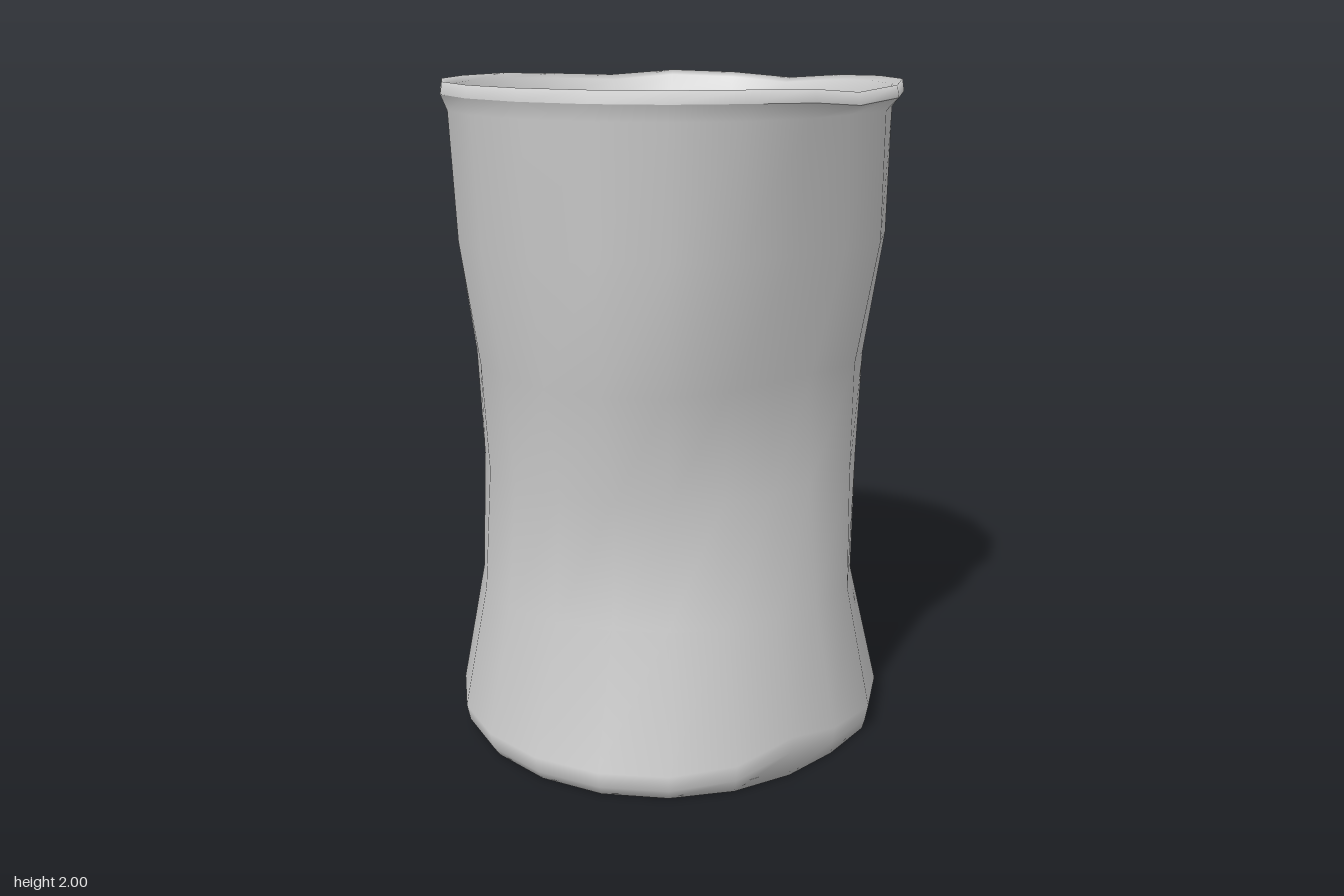
import * as THREE from 'three';

const SIDES = 20;
// Crumpled outer radius at each height, eight directions from +x round through +z;
// dents are the extra depths of the two sharp creases
const LEVELS = [
  { y: 0.00, r: [.64, .605, .625, .635, .645, .65, .59, .62], dents: [.015, 0] },
  { y: 0.03, r: [.65, .615, .64, .655, .66, .66, .60, .635], dents: [.02, 0] },
  { y: 0.08, r: [.66, .62, .65, .665, .67, .665, .61, .645], dents: [.02, 0] },
  { y: 0.47, r: [.58, .535, .52, .585, .60, .65, .55, .545], dents: [.02, .06] },
  { y: 0.85, r: [.583, .51, .50, .555, .585, .61, .53, .545], dents: [.035, .07] },
  { y: 1.18, r: [.59, .50, .59, .58, .595, .575, .56, .56], dents: [.03, .05] },
  { y: 1.55, r: [.64, .575, .62, .64, .63, .625, .615, .61] },
  { y: 1.92, r: [.645, .63, .645, .655, .65, .635, .64, .64], dents: [.035, 0] },
];
const RIM = { r: [.68, .655, .66, .67, .675, .67, .665, .662], dents: [.035, 0] };
// Wall thickness in the same eight directions, pinched at the dents
const WALL = [.03, .008, .01, .018, .034, .018, .008, .012];

// Smooth periodic blend between the eight directions
function blend(r, angle) {
  const t = angle / (Math.PI / 4), i = Math.floor(t), f = t - i;
  const [a, b, c, d] = [-1, 0, 1, 2].map(k => r[(i + k + 8) % 8]);
  return b + 0.5 * f * (c - a + f * (2 * a - 5 * b + 4 * c - d + f * (3 * (b - c) + d - a)));
}

// Local bump around one direction, in degrees
function bump(angle, centre, width) {
  const d = THREE.MathUtils.radToDeg(angle) - centre;
  return Math.exp(-(((((d + 540) % 360) - 180) / width) ** 2));
}

// One ring: inset is an even step inwards, wall the share of the wall thickness
function makeRing({ y, r, dents = [0, 0], inset = 0, wall = 0, scale = 1 }) {
  const ring = [];
  for (let i = 0; i < SIDES; i++) {
    const a = ((i + 0.5) / SIDES) * Math.PI * 2;
    const dent = dents[0] * bump(a, 27, 16) + dents[1] * bump(a, 328, 16);
    const radius = scale * (1.01 * blend(r, a) - dent - inset - wall * blend(WALL, a));
    let h = y;
    // Dented lower edge and slightly wavy lip
    if (y > 0 && y < 0.1 && !wall) h += 0.05 * (bump(a, 45, 14) + bump(a, 251, 16));
    if (y > 1.95) h -= 0.02 * (bump(a, 24, 16) + bump(a, 237, 12) + bump(a, 296, 16));
    ring.push(new THREE.Vector3(Math.cos(a) * radius, h, Math.sin(a) * radius));
  }
  return ring;
}

// Skin a list of rings, ordered up the outside and down the inside
function loft(rings) {
  const index = [];
  for (let j = 0; j < rings.length - 1; j++) {
    for (let i = 0; i < SIDES; i++) {
      const a = j * SIDES + i, b = j * SIDES + ((i + 1) % SIDES);
      const c = a + SIDES, d = b + SIDES;
      index.push(a, c, b, b, c, d);
    }
  }
  const g = new THREE.BufferGeometry().setFromPoints(rings.flat());
  g.setIndex(index);
  g.computeVertexNormals();
  return g;
}

export function createModel() {
  const group = new THREE.Group();
  group.name = 'crumpledCan';
  const material = new THREE.MeshStandardMaterial({ color: 0xcccccc });
  const add = (name, rings) => {
    const mesh = new THREE.Mesh(loft(rings.map(makeRing)), material);
    mesh.name = name;
    group.add(mesh);
  };

  // Thick rolled lip, from the outside over to the inside
  const lip = [
    { ...RIM, y: 1.965 },
    { ...RIM, y: 2.0, inset: 0.006 },
    { ...RIM, y: 1.985, inset: 0.035 },
    { ...RIM, y: 1.93, inset: 0.055 },
  ];
  // Inner wall follows the outer dents down to the floor
  const inner = LEVELS.slice(2, -1).reverse().map(l => ({ ...l, wall: 1 }));
  const floor = { ...LEVELS[1], y: 0.025, wall: 1 };

  add('baseAndOuterWall', [{ ...LEVELS[0], scale: 0 }, ...LEVELS, lip[0]]);
  add('lip', lip);
  add('innerWallAndFloor', [lip[3], ...inner, floor, { ...floor, scale: 0 }]);
  return group;
}
